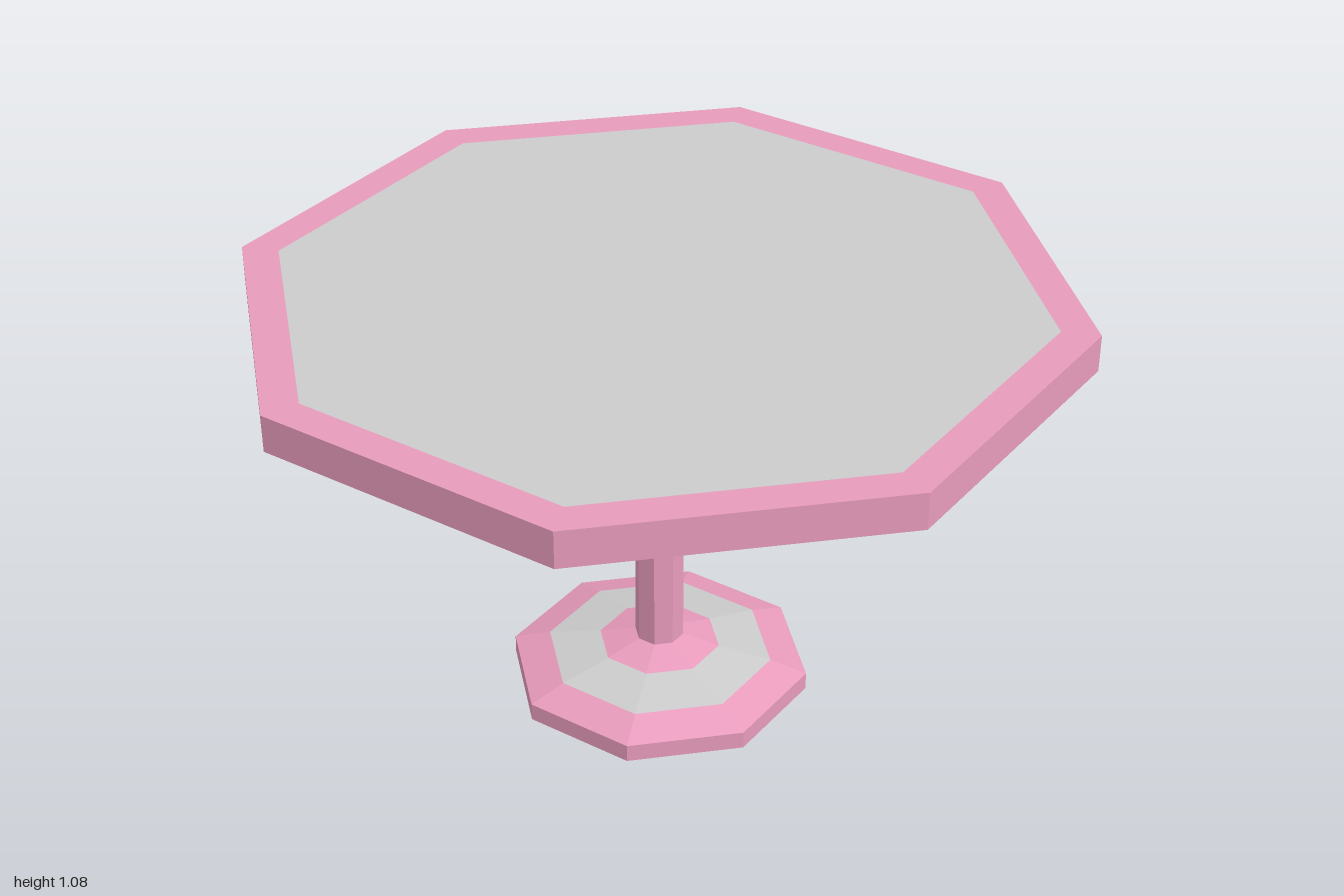
import * as THREE from 'three';

const PINK = new THREE.MeshStandardMaterial({ color: 0xe89bbc, flatShading: true });
const GREY = new THREE.MeshStandardMaterial({ color: 0xcccccc, flatShading: true });

// Eight-sided band swept from [radius, height] points, corners on the x and z axes
function octagon(name, material, profile) {
  const points = profile.map(([r, y]) => new THREE.Vector2(r, y));
  const geometry = new THREE.LatheGeometry(points, 8).toNonIndexed();
  geometry.computeVertexNormals();
  const mesh = new THREE.Mesh(geometry, material);
  mesh.name = name;
  return mesh;
}

export function createModel() {
  const table = new THREE.Group();
  table.name = 'pedestalTable';

  // Table top: pink rim around grey panels on both faces
  const top = new THREE.Group();
  top.name = 'tableTop';
  const low = 0.99, high = 1.08, rim = 0.91, collar = 0.15;
  top.add(
    octagon('topRim', PINK, [[rim, low], [1, low], [1, high], [rim, high]]),
    octagon('topPanel', GREY, [[rim, high], [0, high]]),
    octagon('undersidePanel', GREY, [[collar, low], [rim, low]]),
    octagon('undersideCollar', PINK, [[0.06, low], [collar, low]]),
  );

  // Column between the foot and the top
  const column = octagon('column', PINK, [[0.06, 0.12], [0.06, low]]);

  // Foot: upright edge, then a shallow slope with a grey band
  const foot = new THREE.Group();
  foot.name = 'foot';
  foot.add(
    octagon('footPlate', PINK, [[0, 0], [0.37, 0], [0.37, 0.045], [0.28, 0.073]]),
    octagon('footBand', GREY, [[0.28, 0.073], [0.15, 0.097]]),
    octagon('footCollar', PINK, [[0.15, 0.097], [0.06, 0.12]]),
  );

  table.add(top, column, foot);
  return table;
}
